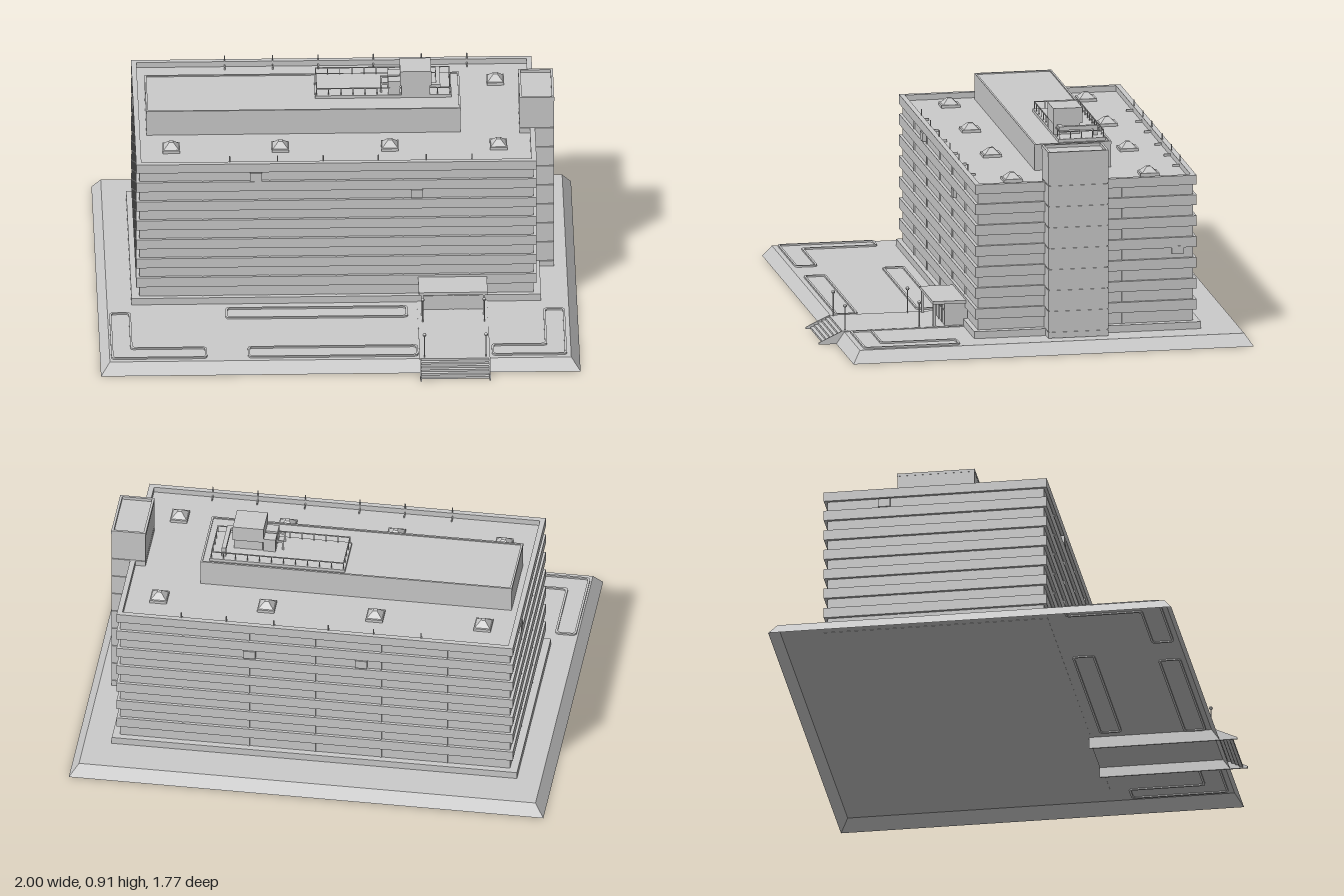
import * as THREE from 'three';

const mat = new THREE.MeshStandardMaterial({ color: 0xcccccc, flatShading: true, side: THREE.DoubleSide });

export function createModel() {
  const model = new THREE.Group();

  const add = (name, geo, parent = model) => {
    const m = new THREE.Mesh(geo, mat);
    m.name = name;
    parent.add(m);
    return m;
  };
  const group = (name) => {
    const g = new THREE.Group();
    g.name = name;
    model.add(g);
    return g;
  };
  // Box given by its limits on each axis
  const box = (name, x0, x1, y0, y1, z0, z1, parent = model) => {
    const m = add(name, new THREE.BoxGeometry(x1 - x0, y1 - y0, z1 - z0), parent);
    m.position.set((x0 + x1) / 2, (y0 + y1) / 2, (z0 + z1) / 2);
    return m;
  };
  const rod = (name, x, y0, y1, z, r, parent = model) => {
    const m = add(name, new THREE.CylinderGeometry(r, r, y1 - y0, 8), parent);
    m.position.set(x, (y0 + y1) / 2, z);
    return m;
  };
  // Rectangular ring with wall thickness t
  const rim = (name, x0, x1, y0, y1, z0, z1, t, parent = model) => {
    box(name, x0, x1, y0, y1, z0, z0 + t, parent);
    box(name, x0, x1, y0, y1, z1 - t, z1, parent);
    box(name, x0, x0 + t, y0, y1, z0 + t, z1 - t, parent);
    box(name, x1 - t, x1, y0, y1, z0 + t, z1 - t, parent);
  };

  // Plinth: a shell with sloping sides, open underneath
  const plinth = new THREE.BoxGeometry(2, 0.05, 1.7);
  const p = plinth.attributes.position;
  for (let i = 0; i < p.count; i++) {
    if (p.getY(i) > 0) p.setXYZ(i, p.getX(i) * 0.962, p.getY(i), p.getZ(i) * 0.96);
  }
  plinth.setIndex([...plinth.index.array].filter((_, i) => i < 18 || i >= 24));
  plinth.clearGroups();
  plinth.computeVertexNormals();
  add('plinth', plinth).position.set(0, 0.025, -0.04);

  // Main block: recessed window storeys between projecting bands
  const block = group('officeBlock');
  const X0 = -0.84, X1 = 0.83, Z0 = -0.68, Z1 = 0.26, D = 0.013;
  box('windowWalls', X0 + D, X1 - D, 0.052, 0.68, Z0 + D, Z1 - D, block);
  box('baseCourse', -0.86, 0.848, 0.049, 0.08, -0.695, 0.268, block);
  const pitch = 0.0895;
  for (let i = 1; i < 7; i++) {
    const y = 0.598 - (i - 1) * pitch;
    box('floorBand', X0, X1, y - 0.022, y + 0.022, Z0, Z1, block);
  }
  rim('parapet', X0, X1, 0.664, 0.704, Z0, Z1, 0.022, block);

  // Slim window mullions on all four sides
  for (let i = 0; i < 7; i++) {
    const y0 = 0.618 - i * pitch, y1 = y0 + 0.048;
    for (let k = 1; k < 6; k++) {
      const x = X0 + (k * (X1 - X0)) / 6;
      for (const z of [Z0 + D, Z1 - D]) box('mullion', x - 0.003, x + 0.003, y0, y1, z - 0.005, z + 0.005, block);
    }
    for (let k = 1; k < 3; k++) {
      const z = Z0 + (k * (Z1 - Z0)) / 3;
      for (const x of [X0 + D, X1 - D]) box('mullion', x - 0.005, x + 0.005, y0, y1, z - 0.003, z + 0.003, block);
    }
  }

  // Window cooling units, almost flush with the bands
  for (const [x, y] of [[-0.34, 0.641], [0.33, 0.555]]) box('coolingUnit', x - 0.025, x + 0.025, y - 0.018, y + 0.018, 0.24, 0.262);
  for (const [x, y] of [[0.27, 0.555], [-0.2, 0.555]]) box('coolingUnit', x - 0.025, x + 0.025, y - 0.018, y + 0.018, -0.682, -0.66);
  box('coolingUnit', 0.81, 0.832, 0.372, 0.405, -0.625, -0.575);
  box('coolingUnit', -0.842, -0.82, 0.622, 0.658, -0.45, -0.4);

  // Stair tower with joint lines and a sunk roof
  const tower = group('stairTower');
  box('towerCore', 0.77, 0.906, 0.052, 0.835, -0.285, -0.04, tower);
  for (let i = 0; i < 9; i++) {
    const y0 = i ? 0.08 + (i - 1) * pitch : 0.052;
    const y1 = i === 8 ? 0.835 : 0.077 + i * pitch;
    box('towerPanel', 0.766, 0.909, y0, y1, -0.29, -0.035, tower);
  }
  rim('towerParapet', 0.765, 0.91, 0.83, 0.848, -0.291, -0.034, 0.01, tower);

  // Penthouse
  const pent = group('penthouse');
  box('penthouseWalls', -0.79, 0.52, 0.67, 0.787, -0.377, -0.052, pent);
  rim('penthouseEdge', -0.791, 0.521, 0.78, 0.792, -0.378, -0.051, 0.008, pent);
  box('plantDeck', -0.085, 0.485, 0.78, 0.8, -0.36, -0.16, pent);

  // Deck railing
  const rail = group('deckRailing');
  rim('handrail', -0.08, 0.48, 0.828, 0.832, -0.355, -0.165, 0.004, rail);
  for (let i = 0; i <= 11; i++) {
    for (const z of [-0.353, -0.167]) rod('railPost', -0.078 + i * 0.0505, 0.8, 0.83, z, 0.002, rail);
  }
  for (const x of [-0.078, 0.478]) for (const z of [-0.306, -0.26, -0.213]) rod('railPost', x, 0.8, 0.83, z, 0.002, rail);

  // Rooftop plant: tank, side units and duct
  const plant = group('rooftopPlant');
  box('tankBase', 0.275, 0.395, 0.8, 0.85, -0.27, -0.157, plant);
  box('tank', 0.27, 0.4, 0.845, 0.912, -0.278, -0.155, plant);
  for (const z of [-0.25, -0.19]) {
    box('sideUnit', 0.22, 0.27, 0.8, 0.86, z - 0.024, z + 0.024, plant);
    box('sidePipe', 0.188, 0.22, 0.835, 0.843, z - 0.004, z + 0.004, plant);
    box('sidePipe', 0.188, 0.196, 0.8, 0.84, z - 0.004, z + 0.004, plant);
  }
  box('duct', 0.42, 0.438, 0.826, 0.842, -0.335, -0.172, plant);
  box('duct', 0.39, 0.438, 0.826, 0.842, -0.19, -0.172, plant);
  box('ductLeg', 0.42, 0.438, 0.8, 0.83, -0.335, -0.317, plant);

  // Skylights and safety poles in rows along both long sides
  for (const z of [0.075, -0.505]) {
    for (const x of [-0.69, -0.235, 0.222, 0.675]) {
      box('skylightCurb', x - 0.036, x + 0.036, 0.675, 0.692, z - 0.04, z + 0.04);
      const s = add('skylight', new THREE.CylinderGeometry(0.012, 0.047, 0.025, 4));
      s.rotation.y = Math.PI / 4;
      s.position.set(x, 0.7035, z);
    }
  }
  for (const [z, inward] of [[0.24, -1], [-0.662, 1]]) {
    for (const x of [-0.45, -0.25, -0.06, 0.17, 0.37, 0.56]) {
      rod('roofPole', x, 0.68, 0.73, z, 0.0025);
      box('poleFoot', x - 0.0025, x + 0.0025, 0.68, 0.69, z + inward * 0.016 - 0.016, z + inward * 0.016 + 0.016);
    }
  }

  // Entrance: glazed porch, canopy and posts
  const porch = group('entrance');
  box('porchWalls', 0.352, 0.608, 0.052, 0.15, 0.25, 0.345, porch);
  box('canopy', 0.335, 0.622, 0.149, 0.162, 0.255, 0.4, porch);
  for (const x of [0.35, 0.607]) box('canopyPost', x - 0.005, x + 0.005, 0.05, 0.15, 0.385, 0.397, porch);
  for (let i = 0; i < 5; i++) {
    const x = 0.354 + i * 0.0625;
    box('porchMullion', x - 0.003, x + 0.003, 0.052, 0.148, 0.342, 0.348, porch);
  }
  box('porchTransom', 0.352, 0.608, 0.115, 0.12, 0.342, 0.348, porch);

  // Forecourt paving, thin steps and long side walls that reach the ground
  const steps = group('frontSteps');
  box('forecourt', 0.332, 0.622, 0.044, 0.054, 0.26, 0.785, steps);
  for (let i = 0; i < 6; i++) {
    const z = 0.785 + i * 0.016, y = 0.054 - i * 0.009;
    box('tread', 0.335, 0.62, y - 0.003, y, z - 0.016, z, steps);
    box('riser', 0.335, 0.62, y - 0.009, y, z - 0.002, z, steps);
  }
  const cheek = new THREE.Shape([[0.26, 0], [0.26, 0.052], [0.785, 0.054], [0.884, 0.008], [0.884, 0]].map((c) => new THREE.Vector2(...c)));
  for (const x of [0.336, 0.624]) {
    const m = add('stepCheek', new THREE.ExtrudeGeometry(cheek, { depth: 0.006, bevelEnabled: false }), steps);
    m.rotation.y = -Math.PI / 2;
    m.position.x = x;
  }

  // Lamp posts
  for (const [x, z] of [[0.35, 0.455], [0.607, 0.455], [0.35, 0.77], [0.607, 0.77]]) {
    rod('lampPost', x, 0.05, 0.155, z, 0.0025);
    add('lampGlobe', new THREE.SphereGeometry(0.008, 10, 8)).position.set(x, 0.158, z);
  }

  // Planting beds: a curb with rounded corners around each outline
  const outline = (pts, inset, r) => {
    const n = pts.length, path = new THREE.Path();
    const dir = (a, b) => new THREE.Vector2().subVectors(b, a).normalize();
    const v = pts.map((c) => new THREE.Vector2(...c));
    const q = v.map((c, i) => {
      const a = dir(v[(i + n - 1) % n], c), b = dir(c, v[(i + 1) % n]);
      return new THREE.Vector2(c.x - inset * (a.y + b.y), c.y + inset * (a.x + b.x));
    });
    q.forEach((c, i) => {
      const s = c.clone().addScaledVector(dir(q[(i + n - 1) % n], c), -r);
      const e = c.clone().addScaledVector(dir(c, q[(i + 1) % n]), r);
      if (i) path.lineTo(s.x, s.y); else path.moveTo(s.x, s.y);
      path.quadraticCurveTo(c.x, c.y, e.x, e.y);
    });
    path.closePath();
    return path;
  };
  const rect = (x0, x1, z0, z1) => [[x0, z0], [x1, z0], [x1, z1], [x0, z1]];
  const beds = [
    rect(-0.47, 0.29, 0.31, 0.405),
    rect(-0.385, 0.325, 0.66, 0.755),
    [[-0.955, 0.345], [-0.865, 0.345], [-0.865, 0.66], [-0.555, 0.66], [-0.555, 0.755], [-0.955, 0.755]],
    [[0.855, 0.345], [0.945, 0.345], [0.945, 0.755], [0.632, 0.755], [0.632, 0.66], [0.855, 0.66]],
  ];
  for (const b of beds) {
    const shape = new THREE.Shape(outline(b, 0, 0.02).getPoints(6));
    shape.holes.push(outline(b, 0.009, 0.014));
    const m = add('bedCurb', new THREE.ExtrudeGeometry(shape, { depth: 0.012, bevelEnabled: false, curveSegments: 6 }));
    m.rotation.x = Math.PI / 2;
    m.position.y = 0.057;
  }
  return model;
}
